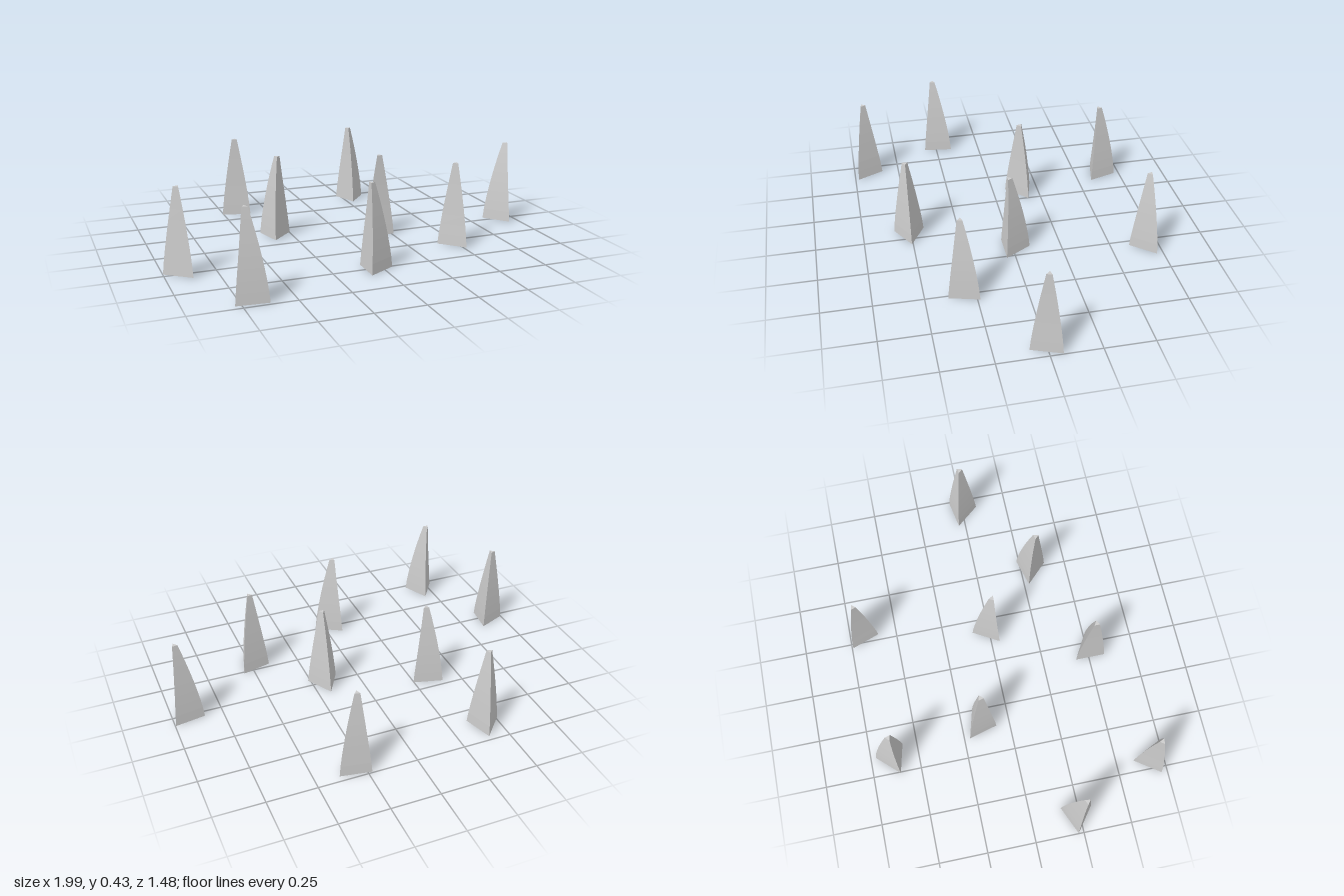
import * as THREE from 'three';

const HEIGHT = 0.43;

// Three-sided spike with a slightly bulging taper; its tip bends away from the +x corner
function spikeGeometry() {
  const geo = new THREE.CylinderGeometry(1, 1, HEIGHT, 3, 8, false, Math.PI / 2);
  const p = geo.attributes.position;
  for (let i = 0; i < p.count; i++) {
    const t = THREE.MathUtils.clamp(p.getY(i) / HEIGHT + 0.5, 0, 1);
    const r = 0.016 + 0.074 * (1 - Math.pow(t, 1.25));
    p.setXYZ(i, p.getX(i) * r - 0.019 * t * t, t * HEIGHT, p.getZ(i) * r);
  }
  geo.computeVertexNormals();
  return geo;
}

export function createModel() {
  const group = new THREE.Group();
  group.name = 'spikeField';
  const geometry = spikeGeometry();
  const material = new THREE.MeshStandardMaterial({ color: 0xcccccc, flatShading: true });

  // x, z and turn in degrees for each spike
  const spots = [
    [-0.42, -0.636, 77],
    [0.298, -0.686, 20],
    [-0.334, -0.157, 135],
    [0.184, 0, 90],
    [-0.909, 0.234, 53],
    [0.927, -0.006, 160],
    [0.492, 0.3, 45],
    [-0.04, 0.507, 0],
    [-0.698, 0.681, -35],
  ];
  spots.forEach(([x, z, turn], i) => {
    const spike = new THREE.Mesh(geometry, material);
    spike.name = `spike${i + 1}`;
    spike.position.set(x, 0, z);
    spike.rotation.y = THREE.MathUtils.degToRad(turn);
    group.add(spike);
  });
  return group;
}
